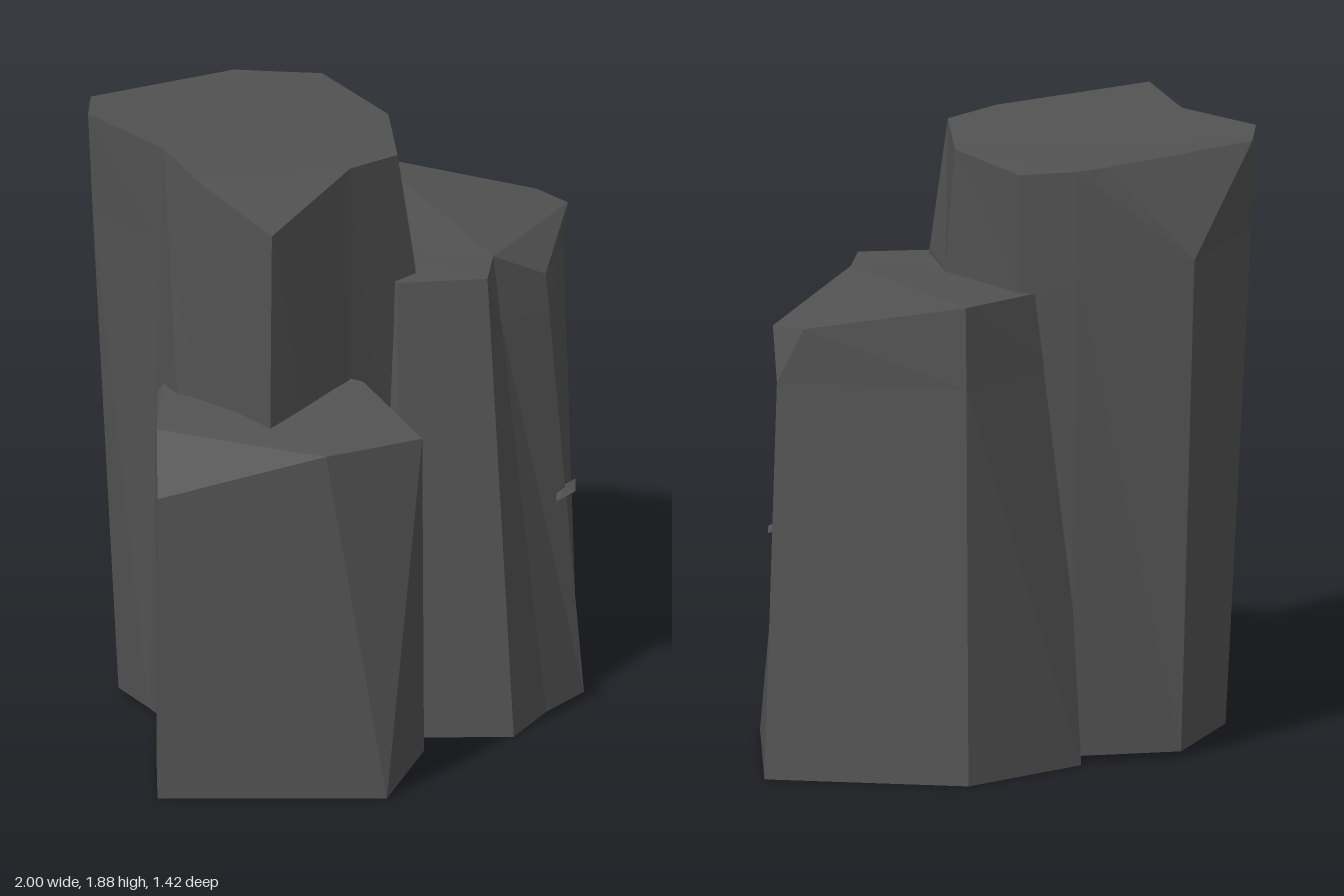
import * as THREE from 'three';

const stone = new THREE.MeshStandardMaterial({ color: 0x525252, flatShading: true });
stone.name = 'dark stone';

// Faceted column: rings of [x, y, z] corners from top to bottom, clockwise seen
// from above. Repeated corners in a ring collapse a facet into a triangle.
function column(name, rings) {
  const pos = [];
  const tri = (a, b, c) => {
    const [A, B, C] = [a, b, c].map((p) => new THREE.Vector3(...p));
    if (B.sub(A).cross(C.sub(A)).length() > 1e-6) pos.push(...a, ...b, ...c);
  };
  for (let r = 0; r + 1 < rings.length; r++) {
    const top = rings[r], low = rings[r + 1], n = top.length;
    for (let i = 0; i < n; i++) {
      const j = (i + 1) % n;
      tri(low[i], top[i], top[j]);
      tri(low[i], top[j], low[j]);
    }
  }
  const cap = (given, up) => {
    const ring = given.filter((p, i) => p.join() !== given[(i + 1) % given.length].join());
    const outline = ring.map((p) => new THREE.Vector2(p[0], -p[2]));
    for (const f of THREE.ShapeUtils.triangulateShape(outline, [])) {
      const [a, b, c] = f.map((k) => ring[k]);
      const area = (b[0] - a[0]) * (a[2] - c[2]) - (c[0] - a[0]) * (a[2] - b[2]);
      if (area > 0 === up) tri(a, b, c);
      else tri(a, c, b);
    }
  };
  cap(rings[0], true);
  cap(rings[rings.length - 1], false);
  const geo = new THREE.BufferGeometry();
  geo.setAttribute('position', new THREE.Float32BufferAttribute(pos, 3));
  geo.computeVertexNormals();
  const mesh = new THREE.Mesh(geo, stone);
  mesh.name = name;
  return mesh;
}

export function createModel() {
  const model = new THREE.Group();
  model.name = 'rock cluster';

  // Tall column with broken corners at the back and the front right
  const tall = column('tallColumn', [
    [[-0.69, 1.88, 0.08], [-0.54, 1.87, -0.2], [-0.54, 1.87, -0.2], [-0.5, 1.88, -0.55], [-0.37, 1.87, -0.66],
      [0.13, 1.85, -0.53], [0.2, 1.84, -0.475], [0.325, 1.83, -0.35], [0.21, 1.83, 0.03], [-0.04, 1.84, 0.3],
      [-0.24, 1.85, 0.29]],
    [[-0.61, 1.74, 0.31], [-0.56, 1.56, -0.16], [-0.535, 1.56, -0.22], [-0.49, 1.56, -0.54], [-0.06, 1.56, -0.715],
      [-0.06, 1.56, -0.715], [0.2, 1.5, -0.473], [0.325, 1.45, -0.35], [0.21, 1.45, 0.07], [0.04, 1.45, 0.3],
      [-0.24, 1.85, 0.29]],
    [[-0.63, 0.02, 0.31], [-0.63, 0.02, 0.02], [-0.5, 0.02, -0.3], [-0.44, 0.02, -0.48], [-0.08, 0.02, -0.64],
      [-0.08, 0.02, -0.64], [0.2, 0.02, -0.445], [0.32, 0.02, -0.36], [0.22, 0.02, 0.07], [0.05, 0.02, 0.3],
      [-0.24, 0.02, 0.3]],
  ]);

  // Middle column with a chipped outer corner
  const middle = column('middleColumn', [
    [[-0.05, 1.43, 0.31], [0, 1.45, -0.1], [0.2, 1.46, -0.38], [0.6, 1.47, -0.39], [0.89, 1.39, 0.01],
      [0.89, 1.38, 0.14], [0.5, 1.33, 0.41], [0.31, 1.43, 0.37], [0.16, 1.43, 0.485]],
    [[-0.06, 1.2, 0.32], [-0.04, 1.22, -0.05], [0.2, 1.22, -0.4], [0.607, 1.22, -0.4], [0.935, 1.22, 0.08],
      [0.935, 1.22, 0.08], [0.503, 1.22, 0.421], [0.313, 1.22, 0.4], [0.153, 1.22, 0.508]],
    [[-0.125, 0, 0.4], [-0.25, 0, 0.2], [0.2, 0, -0.49], [0.64, 0, -0.44], [1, 0, 0.07],
      [1, 0, 0.07], [0.53, 0, 0.54], [0.33, 0, 0.57], [0.11, 0, 0.64]],
  ]);

  // Short column with a wedge-shaped front
  const short = column('shortColumn', [
    [[-1, 0.97, 0.2], [-0.82, 1.1, 0.03], [-0.6, 1.11, -0.17], [-0.54, 1.11, -0.2], [-0.25, 1.17, 0.2],
      [-0.235, 1.17, 0.34], [-0.34, 1.105, 0.68], [-0.34, 1.105, 0.68], [-0.65, 1.105, 0.57]],
    [[-1, 0, 0.2], [-0.82, 0, 0.03], [-0.6, 0, -0.17], [-0.52, 0, -0.22], [-0.08, 0, 0.2],
      [-0.12, 0, 0.4], [-0.16, 0, 0.52], [-0.53, 0, 0.71], [-0.53, 0, 0.71]],
  ]);

  // Small sliver of stone on the front edge
  const sliver = new THREE.Mesh(new THREE.OctahedronGeometry(1), stone);
  sliver.name = 'stoneSliver';
  sliver.scale.set(0.1, 0.012, 0.03);
  sliver.rotation.y = 0.46;
  sliver.position.set(0.52, 0.64, 0.475);

  model.add(tall, middle, short, sliver);
  return model;
}
